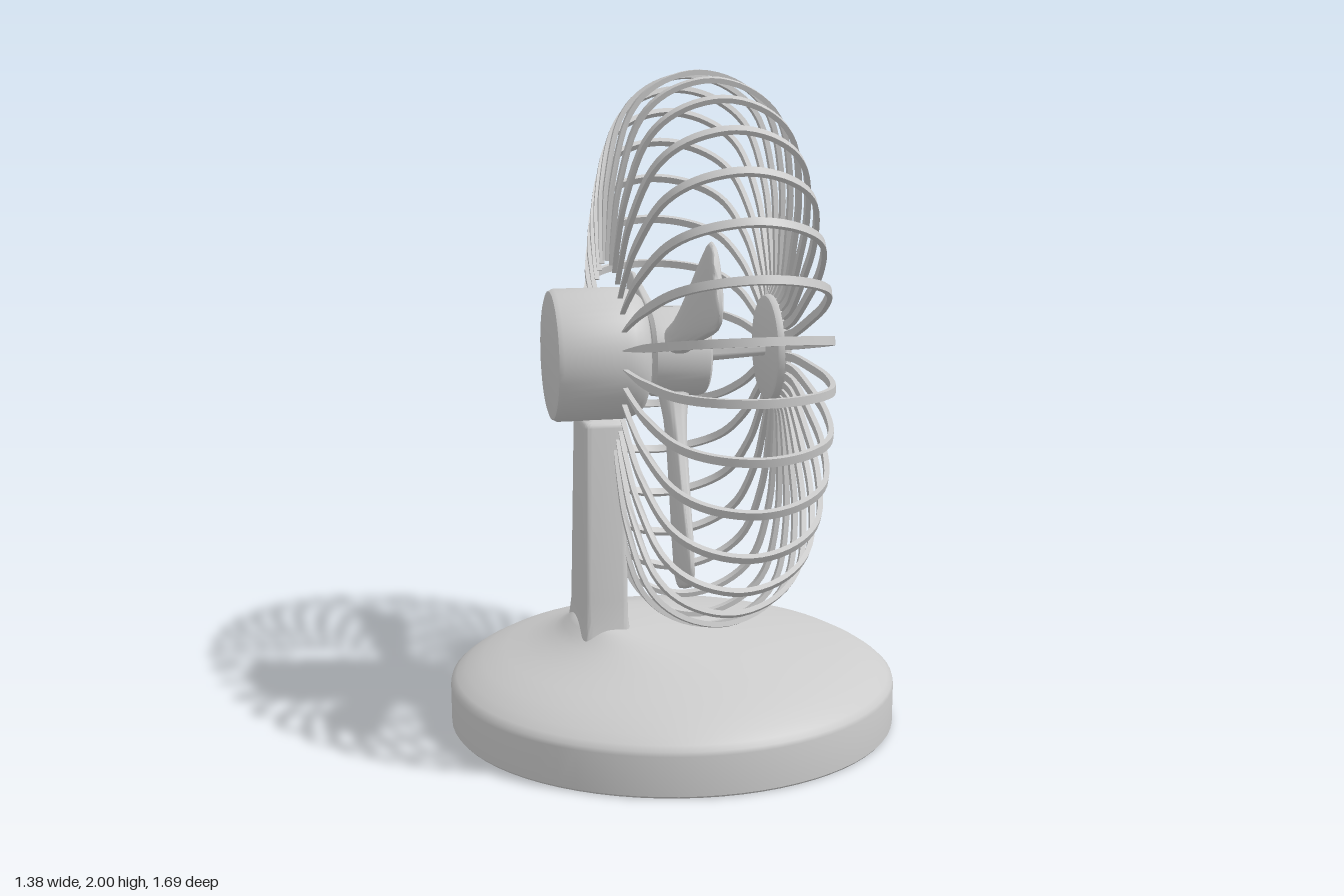
import * as THREE from 'three';
import { toCreasedNormals } from 'three/addons/utils/BufferGeometryUtils.js';

const AXIS_Y = 1.157; // height of the fan axis, which runs along x
const grey = new THREE.MeshStandardMaterial({ color: 0xcccccc });

function part(name, geometry) {
  const mesh = new THREE.Mesh(geometry, grey);
  mesh.name = name;
  return mesh;
}

// Turned part around the x axis; the profile lists [x, radius]
function turned(profile, segments = 48) {
  const points = profile.map(([x, r]) => new THREE.Vector2(r, x));
  const geometry = new THREE.LatheGeometry(points, segments).rotateZ(-Math.PI / 2);
  return toCreasedNormals(geometry, 0.6);
}

// Stack of rounded rings; each is [y, centre x, radius x, radius z], exponent 2 = ellipse
function loft(rings, n, exponent, crease) {
  const positions = [], index = [];
  const bend = (v) => Math.sign(v) * Math.pow(Math.abs(v), 2 / exponent);
  rings.forEach(([y, cx, rx, rz], j) => {
    for (let i = 0; i < n; i++) {
      const a = (i / n) * Math.PI * 2;
      positions.push(cx + rx * bend(Math.cos(a)), y, rz * bend(Math.sin(a)));
      if (j === 0) continue;
      const k = (i + 1) % n, lo = (j - 1) * n, hi = j * n;
      index.push(lo + i, hi + i, lo + k, lo + k, hi + i, hi + k);
    }
  });
  const geometry = new THREE.BufferGeometry();
  geometry.setAttribute('position', new THREE.Float32BufferAttribute(positions, 3));
  geometry.setIndex(index);
  return toCreasedNormals(geometry, crease);
}

// Base with a shallow dished underside and a dome that leans back towards the neck
function makeBase() {
  const lower = [
    [0.04, 0], [0.04, 0.45], [0.036, 0.54], [0.026, 0.61], [0.012, 0.65], [0, 0.672],
    [0, 0.684], [0.006, 0.689], [0.125, 0.69], [0.138, 0.687], [0.152, 0.672],
  ].map(([y, r]) => [y, 0, r, r]);
  const dome = [
    [0.172, 0, 0.643, 0.643], [0.2, 0, 0.59, 0.59],
    [0.225, -0.005, 0.515, 0.525], [0.245, -0.015, 0.445, 0.455], [0.265, -0.035, 0.375, 0.385],
    [0.285, -0.075, 0.295, 0.31], [0.305, -0.125, 0.215, 0.24], [0.325, -0.18, 0.14, 0.18],
    [0.34, -0.225, 0.075, 0.135], [0.342, -0.228, 0, 0],
  ];
  return part('base', loft([...lower, ...dome], 72, 2, 0.65));
}

// Upright neck, slightly flared at the base and slimmer at the top
function makeNeck() {
  return part('neck', loft([
    [0.27, -0.23, 0, 0], [0.27, -0.23, 0.08, 0.16], [0.325, -0.23, 0.074, 0.152],
    [0.36, -0.23, 0.07, 0.147], [0.42, -0.23, 0.069, 0.142],
    [0.95, -0.226, 0.065, 0.112], [0.96, -0.226, 0.063, 0.11], [0.966, -0.226, 0.057, 0.102],
    [0.966, -0.226, 0, 0],
  ], 64, 9, 0.8));
}

// Three blades, thick at the root and thin at the broad tip
function makeBlades() {
  const blades = new THREE.Group();
  blades.name = 'blades';
  const geometry = loft([
    [0.08, 0, 0.055, 0.045], [0.14, 0, 0.044, 0.045], [0.2, 0, 0.034, 0.05], [0.28, 0, 0.028, 0.066],
    [0.4, 0, 0.025, 0.088], [0.55, 0, 0.021, 0.115], [0.62, 0, 0.018, 0.124],
    [0.66, 0, 0.016, 0.12], [0.685, 0, 0.013, 0.1], [0.695, 0, 0.008, 0.075], [0.698, 0, 0, 0],
  ], 40, 2.4, 1.4);
  for (const [degrees, length] of [[3.5, 1], [154, 1], [253, 1.03]]) {
    const blade = part('blade', geometry);
    blade.position.x = -0.003;
    blade.rotation.x = THREE.MathUtils.degToRad(degrees - 90);
    blade.scale.y = length;
    blades.add(blade);
  }
  return blades;
}

// Cage of flat wires repeated around the axis, each narrowing to a free tip at the back
function makeCage() {
  const cage = new THREE.Group();
  cage.name = 'cage';
  const path = [
    [-0.195, 0.28], [-0.192, 0.38], [-0.18, 0.52], [-0.135, 0.7], [-0.05, 0.797], [0.08, 0.8355],
    [0.21, 0.797], [0.3, 0.7], [0.337, 0.52], [0.34, 0.35], [0.336, 0.22], [0.328, 0.18], [0.315, 0.155],
  ];
  const curve = new THREE.SplineCurve(path.map(([x, r]) => new THREE.Vector2(x, r)));
  const outer = [], inner = [];
  for (let i = 0; i <= 60; i++) {
    const p = curve.getPoint(i / 60), t = curve.getTangent(i / 60);
    const normal = new THREE.Vector2(-t.y, t.x).multiplyScalar(0.0075);
    outer.push(p.clone().add(normal));
    inner.unshift(p.clone().sub(normal));
  }
  const width = 0.024;
  const geometry = new THREE.ExtrudeGeometry(
    new THREE.Shape([...outer, ...inner]), { depth: width, bevelEnabled: false }).translate(0, 0, -width / 2);
  const v = geometry.attributes.position;
  for (let i = 0; i < v.count; i++) {
    if (v.getX(i) < 0) v.setZ(i, v.getZ(i) * THREE.MathUtils.clamp((v.getY(i) - 0.24) / 0.3, 0.1, 1));
  }
  const wireGeometry = toCreasedNormals(geometry, 0.6);
  for (let i = 0; i < 32; i++) {
    const wire = part('cageWire', wireGeometry);
    wire.rotation.x = (i / 32) * Math.PI * 2;
    cage.add(wire);
  }
  return cage;
}

export function createModel() {
  const model = new THREE.Group();
  model.name = 'deskFan';
  const head = new THREE.Group();
  head.name = 'fanHead';
  head.position.y = AXIS_Y;
  head.add(
    part('motorHousing', turned([
      [-0.378, 0], [-0.378, 0.18], [-0.374, 0.193], [-0.36, 0.2], [-0.17, 0.2],
      [-0.145, 0.197], [-0.12, 0.187], [-0.1, 0.17], [-0.09, 0.145], [-0.088, 0],
    ])),
    part('hub', turned([
      [-0.095, 0], [-0.085, 0.1], [-0.081, 0.122], [-0.07, 0.133], [-0.05, 0.136],
      [0.077, 0.136], [0.092, 0.132], [0.1, 0.12], [0.102, 0.1], [0.102, 0],
    ])),
    part('shaft', turned([[0.09, 0], [0.09, 0.035], [0.3, 0.022], [0.3, 0]], 24)),
    part('frontCap', turned([
      [0.287, 0], [0.287, 0.15], [0.292, 0.16], [0.3, 0.164], [0.315, 0.164], [0.327, 0.15],
      [0.342, 0.12], [0.354, 0.08], [0.361, 0.04], [0.364, 0.013], [0.352, 0.01], [0.352, 0],
    ])),
    makeBlades(),
    makeCage(),
  );
  model.add(makeBase(), makeNeck(), head);
  return model;
}
